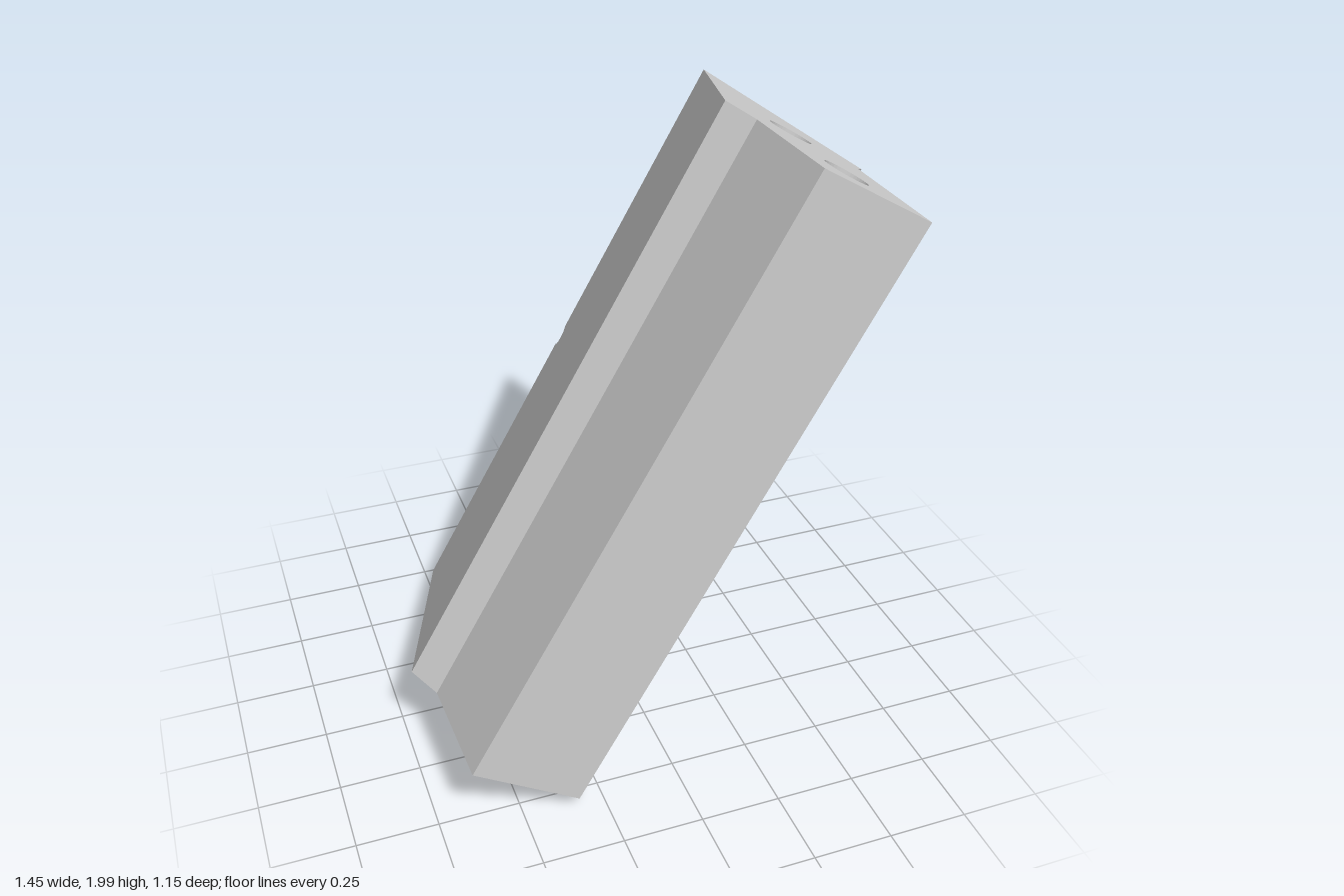
import * as THREE from 'three';

const LENGTH = 2;
const APEX_Z = -0.577; // sharp back edge
const CUT_Z = -0.53; // where the notched ridge joins the body
const SLOPE = 0.257 / 0.67; // half width gained per unit of depth

const material = new THREE.MeshStandardMaterial({ color: 0xcccccc, flatShading: true });

// House-shaped bar with two bores along its length
function makeBody() {
  const w = (CUT_Z - APEX_Z) * SLOPE;
  const profile = [
    [-w, CUT_Z], [-0.257, 0.095], [-0.19, 0.18], [-0.173, 0.555],
    [0.196, 0.573], [0.216, 0.135], [0.257, 0.09], [w, CUT_Z],
  ];
  const shape = new THREE.Shape(profile.map(([x, z]) => new THREE.Vector2(x, -z)));
  for (const z of [0.06, 0.4]) {
    shape.holes.push(new THREE.Path().absarc(0, -z, 0.068, 0, Math.PI * 2, true));
  }
  const geometry = new THREE.ExtrudeGeometry(shape, { depth: LENGTH, bevelEnabled: false, curveSegments: 20 });
  geometry.translate(0, 0, -LENGTH / 2).rotateX(-Math.PI / 2);
  return geometry;
}

// Sharp ridge with a round notch halfway, tapered to an edge
function makeRidge() {
  const h = LENGTH / 2, r = 0.034;
  const shape = new THREE.Shape();
  shape.moveTo(-h, APEX_Z);
  shape.lineTo(-r, APEX_Z);
  shape.absarc(0, APEX_Z, r, Math.PI, 0, true);
  shape.lineTo(h, APEX_Z);
  shape.lineTo(h, CUT_Z);
  shape.lineTo(-h, CUT_Z);
  const geometry = new THREE.ExtrudeGeometry(shape, { depth: 2, bevelEnabled: false, curveSegments: 12 });
  const p = geometry.attributes.position;
  for (let i = 0; i < p.count; i++) {
    const along = p.getX(i), z = p.getY(i), side = p.getZ(i) - 1;
    p.setXYZ(i, side * (z - APEX_Z) * SLOPE, along, z);
  }
  geometry.computeVertexNormals();
  return geometry;
}

export function createModel() {
  const bar = new THREE.Group();
  bar.name = 'leaningBar';
  for (const [name, geometry] of [['boredBody', makeBody()], ['notchedRidge', makeRidge()]]) {
    const mesh = new THREE.Mesh(geometry, material);
    mesh.name = name;
    bar.add(mesh);
  }
  // Lean the bar 30 degrees towards +x
  bar.rotation.z = -Math.PI / 6;
  bar.position.y = 1;

  const model = new THREE.Group();
  model.name = 'model';
  model.add(bar);
  return model;
}
